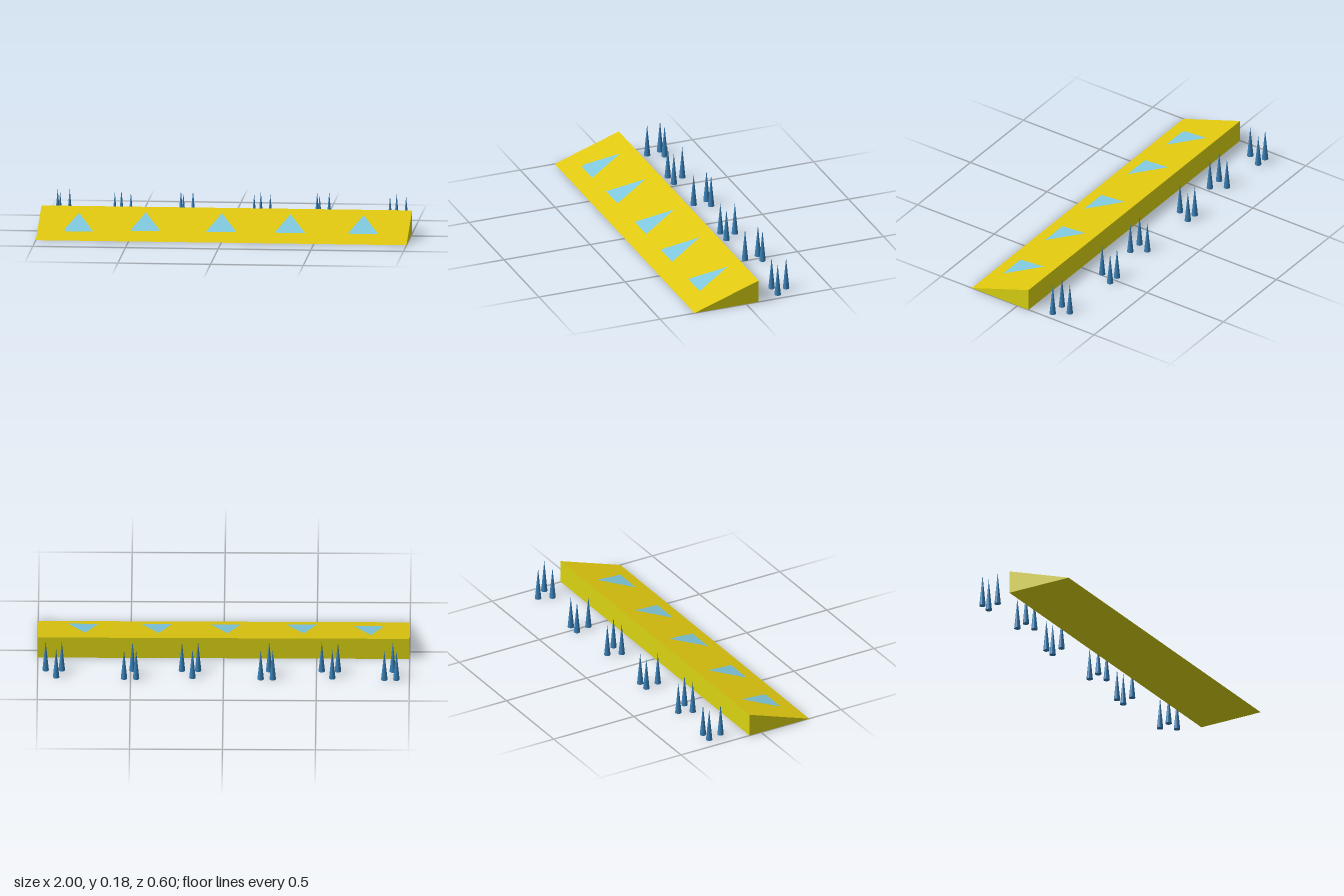
import * as THREE from 'three';
import { mergeGeometries } from 'three/addons/utils/BufferGeometryUtils.js';

// Flat convex polygon, corners anticlockwise as seen from its front
function panel(points) {
  const pos = [];
  for (let i = 1; i < points.length - 1; i++) pos.push(...points[0], ...points[i], ...points[i + 1]);
  const geometry = new THREE.BufferGeometry();
  geometry.setAttribute('position', new THREE.Float32BufferAttribute(pos, 3));
  geometry.computeVertexNormals();
  return geometry;
}

const FRONT = 0.3, BACK = -0.072, HEIGHT = 0.127;
const slopeY = z => HEIGHT * (FRONT - z) / (FRONT - BACK);

export function createModel() {
  const group = new THREE.Group();
  const material = (name, color, options = {}) => {
    const m = new THREE.MeshStandardMaterial({ color, ...options });
    m.name = name;
    return m;
  };
  const slopeYellow = material('slope yellow', 0xe0c80e);
  const bodyYellow = material('body yellow', 0xdad312);
  const paleBlue = material('pale blue', 0x7fc8de, { side: THREE.DoubleSide });
  const spikeBlue = material('spike blue', 0x3a80b6, { flatShading: true });

  const add = (name, geometry, mat) => {
    const mesh = new THREE.Mesh(geometry, mat);
    mesh.name = name;
    group.add(mesh);
    return mesh;
  };

  // Wedge ramp: ends, underside and back wall, then the sloping face
  const toe = x => [x, 0, FRONT];
  const heel = x => [x, 0, BACK];
  const crest = x => [x, HEIGHT, BACK];
  add('rampBody', mergeGeometries([
    panel([toe(1), heel(1), crest(1)]),
    panel([toe(-1), crest(-1), heel(-1)]),
    panel([toe(-1), heel(-1), heel(1), toe(1)]),
    panel([heel(-1), crest(-1), crest(1), heel(1)]),
  ]), bodyYellow);
  add('rampSlope', panel([toe(-1), toe(1), crest(1), crest(-1)]), slopeYellow);

  // Triangular markers just above the slope; the first lies lower with a clipped corner
  const triangle = [[0, 0.005], [-0.07, 0.205], [0.095, 0.205]];
  const clipped = [[0, 0.005], [-0.066, 0.185], [-0.055, 0.205], [0.092, 0.205]];
  [-0.79, -0.43, -0.02, 0.35, 0.745].forEach((x, i) => {
    const outline = i === 0 ? clipped : triangle;
    const lift = i === 0 ? 0.002 : 0.01;
    add('slopeMarker', panel(outline.map(([dx, z]) => [x + dx, slopeY(z) + lift, z])), paleBlue);
  });

  // Spikes behind the ramp, in clusters of three facing alternately
  const spike = new THREE.ConeGeometry(0.0175, 0.181, 16).translate(0, 0.0925, 0);
  const twoBehind = [[-0.02, -0.283], [0.045, -0.283], [0, -0.2]];
  const oneBehind = [[0, -0.272], [-0.03, -0.2], [0.057, -0.2]];
  [-0.91, -0.585, -0.245, 0.167, 0.49, 0.9].forEach((x, i) => {
    for (const [dx, z] of i % 2 ? oneBehind : twoBehind) {
      add('spike', spike, spikeBlue).position.set(x + dx, 0, z);
    }
  });

  return group;
}
